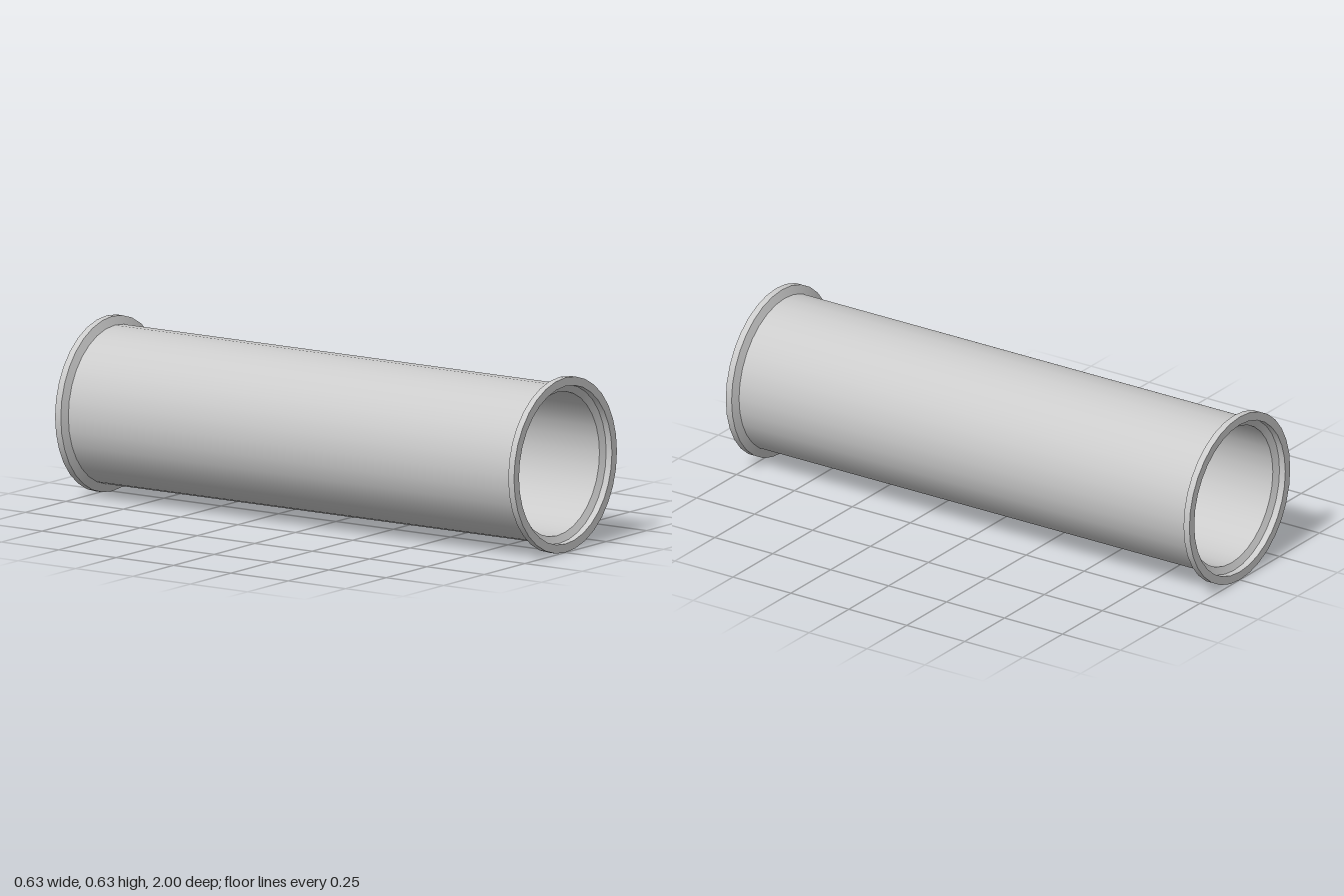
import * as THREE from 'three';
import { mergeGeometries } from 'three/addons/utils/BufferGeometryUtils.js';

const SIDES = 32;
const RIM = 0.317;   // flange radius
const OUTER = 0.286; // pipe outside, also the flange recess
const INNER = 0.26;  // pipe bore
const END = 1, STEP = 0.975, NECK = 0.964;

// Turns each profile segment [radius, z] on its own, so edges stay sharp and the round stays smooth
function turned(profile) {
  const bands = [];
  for (let i = 0; i < profile.length - 1; i++) {
    const pair = [profile[i], profile[i + 1]].map(([r, z]) => new THREE.Vector2(r, z));
    bands.push(new THREE.LatheGeometry(pair, SIDES));
  }
  return mergeGeometries(bands).rotateX(Math.PI / 2);
}

export function createModel() {
  const model = new THREE.Group();
  model.name = 'flangedPipe';
  const material = new THREE.MeshStandardMaterial({ color: 0xcccccc });

  const add = (name, geometry) => {
    const mesh = new THREE.Mesh(geometry, material);
    mesh.name = name;
    mesh.position.y = RIM;
    model.add(mesh);
    return mesh;
  };

  // Pipe wall, outside and bore
  add('pipe', mergeGeometries([
    turned([[OUTER, -NECK], [OUTER, NECK]]),
    turned([[INNER, NECK], [INNER, -NECK]]),
  ]));

  // End flange: bevelled back, rim, flat face, recess and sloped seat down to the bore
  const flange = turned([
    [OUTER, NECK], [RIM, STEP], [RIM, END],
    [OUTER, END], [OUTER, STEP], [INNER, NECK],
  ]);
  add('frontFlange', flange);
  add('backFlange', flange).rotation.y = Math.PI;

  return model;
}
